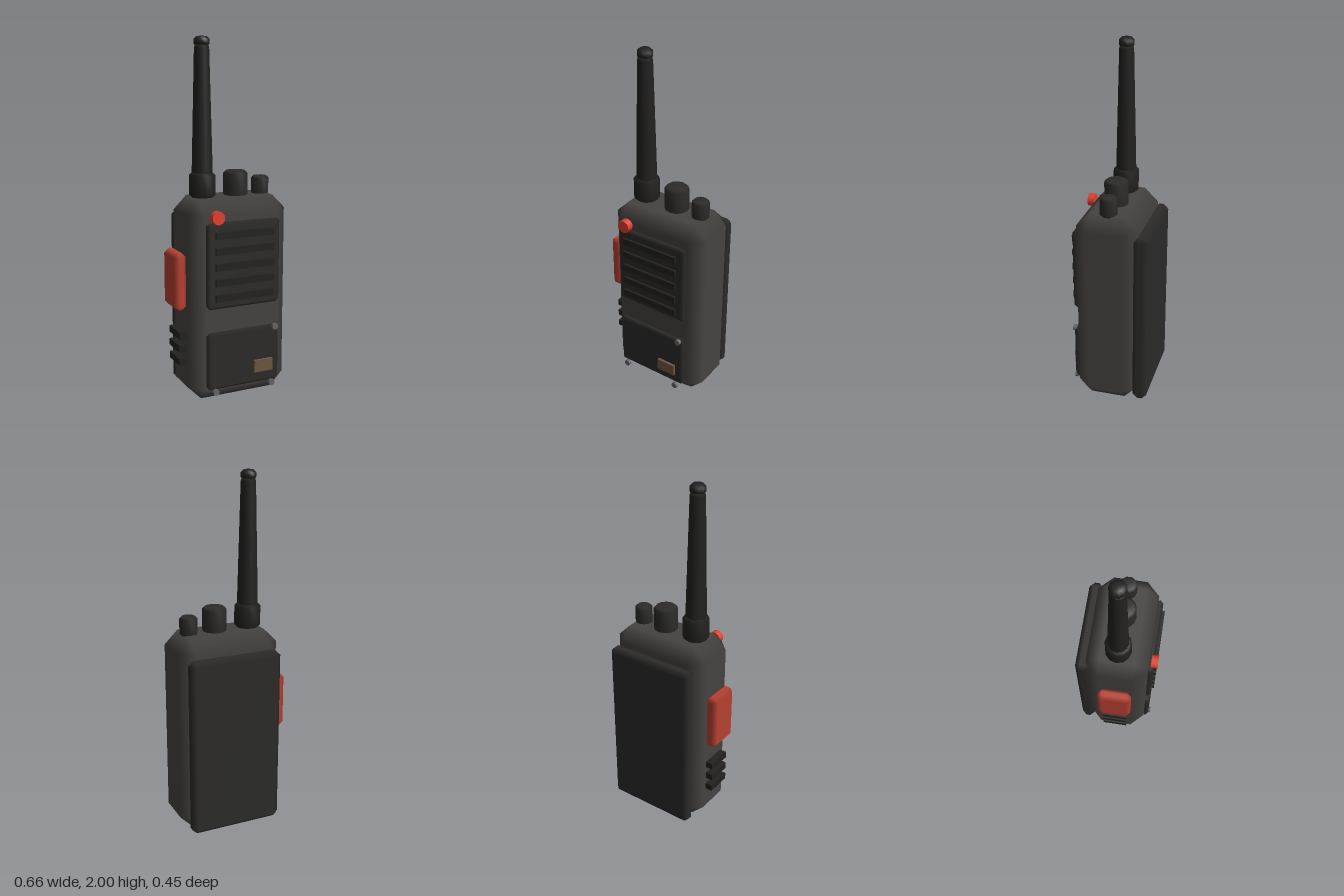
import * as THREE from 'three';
import { ConvexGeometry } from 'three/addons/geometries/ConvexGeometry.js';

const paint = (color) => new THREE.MeshStandardMaterial({ color });
const shell = paint(0x454341);
const dark = paint(0x2c2b2a);
const black = paint(0x222120);
const red = paint(0xb84032);
const brightRed = paint(0xe0402f);
const steel = paint(0x666666);
const brown = paint(0x6e5843);

// Box with chamfered edges; the main faces stay flat and the chamfers shade smoothly.
function chamferBox(w, h, d, c) {
  const half = [w / 2, h / 2, d / 2];
  const points = [];
  for (const sx of [-1, 1]) for (const sy of [-1, 1]) for (const sz of [-1, 1]) {
    const s = [sx, sy, sz];
    for (let axis = 0; axis < 3; axis++) {
      points.push(new THREE.Vector3(...half.map((v, i) => s[i] * (i === axis ? v : v - c))));
    }
  }
  const geo = new ConvexGeometry(points);
  const p = geo.attributes.position;
  const n = geo.attributes.normal;
  for (let i = 0; i < p.count; i++) {
    const v = [p.getX(i), p.getY(i), p.getZ(i)];
    n.setXYZ(i, ...v.map((a, k) => (Math.abs(a) > half[k] - 1e-5 ? Math.sign(a) : 0)));
  }
  return geo;
}

export function createModel() {
  const group = new THREE.Group();

  const add = (name, geo, mat, x, y, z) => {
    const mesh = new THREE.Mesh(geo, mat);
    mesh.name = name;
    mesh.position.set(x, y, z);
    group.add(mesh);
    return mesh;
  };

  // Place a box by its limits on each axis
  const block = (name, mat, [x0, x1], [y0, y1], [z0, z1], c = 0) => {
    const size = [x1 - x0, y1 - y0, z1 - z0];
    const geo = c ? chamferBox(...size, c) : new THREE.BoxGeometry(...size);
    return add(name, geo, mat, (x0 + x1) / 2, (y0 + y1) / 2, (z0 + z1) / 2);
  };

  // Upright turned part from [radius, y] pairs, bottom to top
  const turned = (name, mat, x, profile, sides) =>
    add(name, new THREE.LatheGeometry(profile.map(([r, y]) => new THREE.Vector2(r, y)), sides), mat, x, 0, 0.003);

  const drum = (r, y0, y1, c) => [[0, y0], [r - c, y0], [r, y0 + c], [r, y1 - c], [r - c, y1], [0, y1]];

  // Short round part facing forward
  const disc = (name, mat, r, x, y, z0, z1, sides) => {
    const geo = new THREE.CylinderGeometry(r, r, z1 - z0, sides).rotateX(Math.PI / 2);
    return add(name, geo, mat, x, y, (z0 + z1) / 2);
  };

  // Case and battery
  block('body', shell, [-0.265, 0.33], [0, 1.137], [-0.17, 0.177], 0.077);
  block('batteryPack', dark, [-0.236, 0.302], [0.02, 1.04], [-0.228, -0.147], 0.028);

  // Front panels
  block('speakerPanel', dark, [-0.19, 0.253], [0.543, 1.023], [0.165, 0.205], 0.018);
  block('lowerPanel', dark, [-0.19, 0.253], [0.08, 0.41], [0.165, 0.205], 0.018);
  for (let i = 0; i < 5; i++) {
    const y = 0.955 - i * 0.0865;
    block('speakerSlat', black, [-0.145, 0.205], [y - 0.019, y + 0.019], [0.19, 0.22]);
  }
  block('label', brown, [0.09, 0.203], [0.15, 0.22], [0.2, 0.22]);
  for (const [x, y] of [[0.222, 0.4], [-0.143, 0.07], [0.204, 0.07]]) {
    disc('screw', steel, 0.018, x, y, 0.197, 0.216, 8);
  }
  disc('indicatorLight', brightRed, 0.037, -0.132, 1.053, 0.187, 0.225, 10);

  // Side controls
  block('talkButton', red, [-0.333, -0.262], [0.523, 0.85], [-0.093, 0.1], 0.025);
  for (let i = 0; i < 3; i++) {
    const y = 0.38 - i * 0.0775;
    block('gripRib', black, [-0.307, -0.255], [y - 0.019, y + 0.019], [-0.07, 0.078]);
  }

  // Antenna and top knobs
  turned('antennaBase', black, -0.131, drum(0.073, 1.13, 1.277, 0.019), 12);
  turned('antenna', black, -0.131,
    [[0, 1.26], [0.057, 1.26], [0.058, 1.28], [0.041, 1.94], [0.036, 1.955], [0, 1.955]], 12);
  turned('antennaTip', black, -0.131, drum(0.043, 1.945, 2, 0.016), 10);
  turned('volumeKnob', dark, 0.071, drum(0.068, 1.125, 1.273, 0.014), 12);
  turned('channelKnob', dark, 0.225, drum(0.05, 1.125, 1.235, 0.012), 10);

  return group;
}
